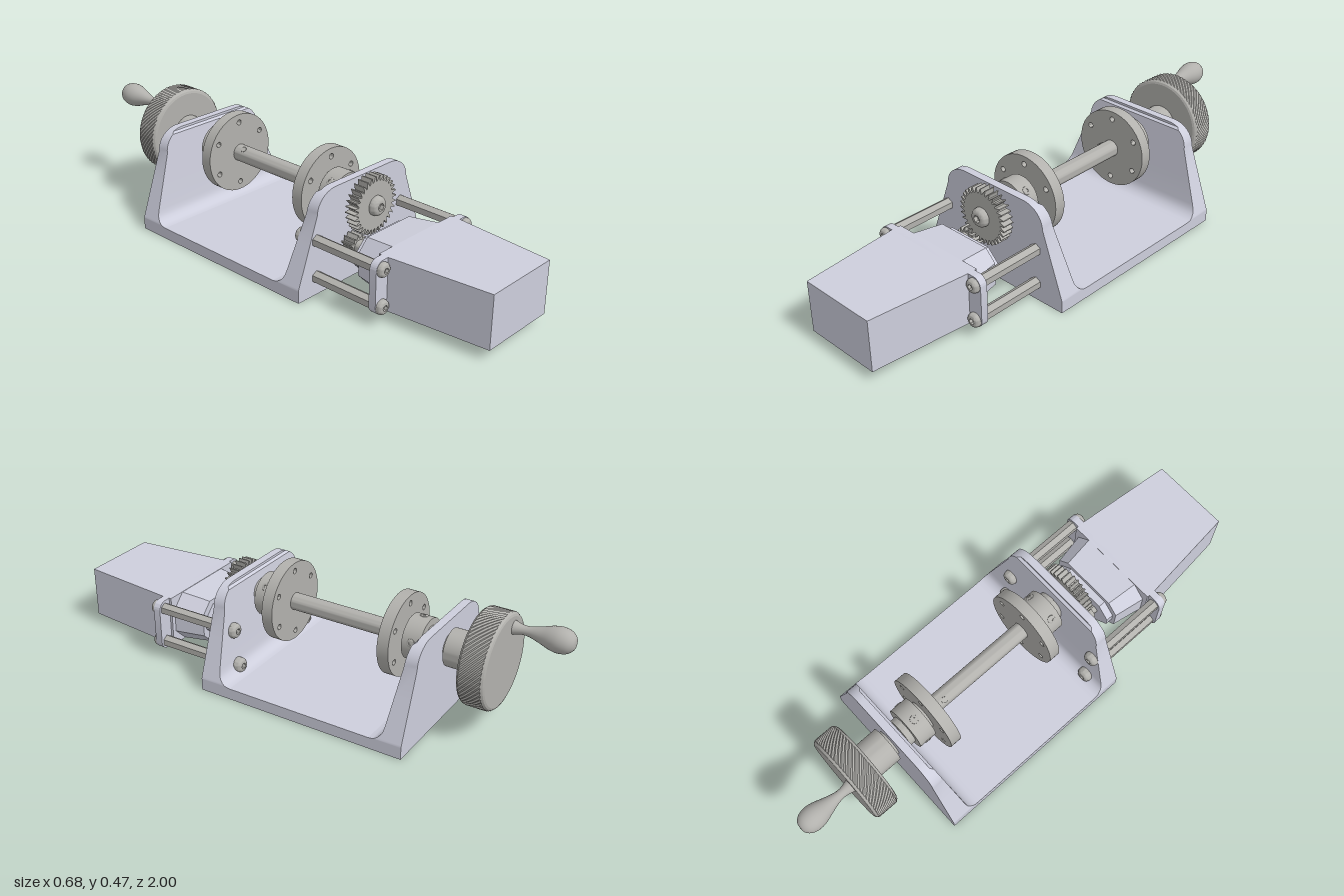
import * as THREE from 'three';
import { toCreasedNormals } from 'three/addons/utils/BufferGeometryUtils.js';

const V = (x, y, z) => new THREE.Vector3(x, y, z);
const body = new THREE.MeshStandardMaterial({ color: 0xcdcedc });
const metal = new THREE.MeshStandardMaterial({ color: 0xb2b1ad });
const AXIS_Y = 0.289;

// Skin a solid through equal rings of points (counter-clockwise seen from the far end)
function loft(rings, crease = 0.5) {
  const n = rings[0].length, last = rings.length - 1, idx = [];
  for (let k = 0; k < last; k++)
    for (let i = 0; i < n; i++) {
      const a = k * n + i, b = k * n + (i + 1) % n;
      idx.push(a, b, b + n, a, b + n, a + n);
    }
  for (let i = 1; i < n - 1; i++) {
    idx.push(0, i + 1, i);
    idx.push(last * n, last * n + i, last * n + i + 1);
  }
  const g = new THREE.BufferGeometry().setFromPoints(rings.flat());
  g.setIndex(idx);
  return toCreasedNormals(g, crease);
}

// Turned part along +z; socket > 0 reshapes that inner radius into a hexagon
function turned(profile, segs = 48, socket = 0) {
  const g = new THREE.LatheGeometry(profile.map(p => new THREE.Vector2(...p)), segs);
  if (socket) {
    const p = g.attributes.position;
    for (let i = 0; i < p.count; i++) {
      const x = p.getX(i), z = p.getZ(i), a = Math.atan2(z, x) + 2 * Math.PI;
      if (Math.abs(Math.hypot(x, z) - socket) > 1e-4) continue;
      const s = Math.cos(Math.PI / 6) / Math.cos((a + 1e-6) % (Math.PI / 3) - Math.PI / 6);
      p.setX(i, x * s);
      p.setZ(i, z * s);
    }
  }
  g.rotateX(Math.PI / 2);
  return toCreasedNormals(g, 0.6);
}

const disc = (r, z0, z1) => turned([[0, z0], [r, z0], [r, z1], [0, z1]]);

// Domed screw head with hex socket
function screwHead(r, h) {
  const s = r * 0.42, pts = [[0, 0], [r, 0], [r, h * 0.2]];
  for (let i = 1; i <= 5; i++) {
    const a = i / 5 * Math.PI / 2;
    pts.push([s * 1.25 + (r - s * 1.25) * Math.cos(a), h * (0.2 + 0.8 * Math.sin(a))]);
  }
  return turned([...pts, [s, h], [s, h * 0.4], [0, h * 0.4]], 36, s);
}

// Cutter wheel outline with leaning teeth
function gear(teeth, rOut, rRoot, depth) {
  const pts = [];
  for (let i = 0; i < teeth; i++)
    for (const [t, r] of [[0, rRoot], [0.08, rOut], [0.25, rOut], [0.75, rRoot]]) {
      const a = (i + t) / teeth * 2 * Math.PI;
      pts.push(new THREE.Vector2(r * Math.cos(a), r * Math.sin(a)));
    }
  return new THREE.ExtrudeGeometry(new THREE.Shape(pts), { depth, bevelEnabled: false });
}

function roundedRect(x0, y0, x1, y1, r) {
  const s = new THREE.Shape();
  s.absarc(x1 - r, y1 - r, r, 0, Math.PI / 2);
  s.absarc(x0 + r, y1 - r, r, Math.PI / 2, Math.PI);
  s.absarc(x0 + r, y0 + r, r, Math.PI, Math.PI * 1.5);
  s.absarc(x1 - r, y0 + r, r, Math.PI * 1.5, Math.PI * 2);
  return s;
}

// End plate outline and thickness by height
const halfWidth = y => y <= 0.05 ? 0.34 : y <= 0.31 ? 0.34 - (y - 0.05) * 0.365
  : 0.15 + 0.095 * Math.sqrt(Math.max(0, 1 - ((y - 0.31) / 0.085) ** 2));
function thickness(y) {
  if (y < 0.1) {
    const u = 1 - (y - 0.045) / 0.055;
    return 0.075 + 0.055 * (1 - Math.sqrt(Math.max(0, 1 - u * u)));
  }
  return y > 0.385 ? 0.032 : 0.075 - (y - 0.1) * 0.115;
}

export function createModel() {
  const model = new THREE.Group();
  const add = (name, geo, mat = metal, x = 0, y = 0, z = 0, parent = model) => {
    const m = new THREE.Mesh(geo, mat);
    m.name = name;
    m.position.set(x, y, z);
    parent.add(m);
    return m;
  };

  // Cradle: floor and two tapered end plates
  add('base', new THREE.BoxGeometry(0.68, 0.045, 0.86), body, 0, 0.0225, -0.13);
  const levels = [0.045, 0.047, 0.05, 0.057, 0.067, 0.08, 0.1, 0.2, 0.31];
  for (let i = 1; i <= 10; i++) levels.push(0.31 + 0.085 * Math.sin(i / 10 * Math.PI / 2));
  for (const [name, outer, dir] of [['frontPlate', 0.3, 1], ['backPlate', -0.56, -1]]) {
    const rings = levels.map(y => {
      const w = halfWidth(y), inner = outer - dir * thickness(y);
      const hi = Math.max(outer, inner), lo = Math.min(outer, inner);
      return [V(-w, y, hi), V(w, y, hi), V(w, y, lo), V(-w, y, lo)];
    });
    add(name, loft(rings), body);
  }

  // Spindle and everything turning on it
  const spindle = new THREE.Group();
  spindle.name = 'spindle';
  spindle.position.y = AXIS_Y;
  model.add(spindle);
  const on = (name, geo, x = 0, y = 0, z = 0) => add(name, geo, metal, x, y, z, spindle);
  on('shaft', disc(0.034, -0.6, 0.36));
  on('shaftPin', disc(0.012, 0, 0.002), -0.02, 0.029, -0.31).rotation.set(-Math.PI / 2, -0.6, 0);

  // Drilled flanges
  const plate = new THREE.Shape().absarc(0, 0, 0.16, 0, Math.PI * 2);
  for (let i = 0; i < 6; i++) {
    const a = Math.PI / 2 + i * Math.PI / 3;
    plate.holes.push(new THREE.Path().absarc(0.127 * Math.cos(a), 0.127 * Math.sin(a), 0.011, 0, Math.PI * 2, true));
  }
  const flangeGeo = toCreasedNormals(
    new THREE.ExtrudeGeometry(plate, { depth: 0.046, bevelEnabled: false, curveSegments: 32 }), 0.6);
  on('frontFlange', flangeGeo, 0, 0, 0.095);
  on('backFlange', flangeGeo, 0, 0, -0.4);

  // Clamping collars with four radial set screws
  for (const [name, z0, z1, turn] of [['front', 0.155, 0.226, Math.PI / 4], ['back', -0.485, -0.412, 0.2]]) {
    on(name + 'Collar', disc(0.086, z0, z1));
    on(name + 'CollarNeck', disc(0.058, z0 - 0.025, z1 + 0.025));
    for (let i = 0; i < 4; i++) {
      const a = turn + i * Math.PI / 2;
      const s = on(name + 'SetScrew', screwHead(0.016, 0.004),
        0.0845 * Math.cos(a), 0.0845 * Math.sin(a), (z0 + z1) / 2);
      s.quaternion.setFromUnitVectors(V(0, 0, 1), V(Math.cos(a), Math.sin(a), 0));
    }
  }

  // Toothed wheel and its bolt
  on('toothedWheel', gear(32, 0.114, 0.094, 0.046), 0, 0, 0.313);
  on('wheelBolt', screwHead(0.038, 0.026), 0, 0, 0.359);

  // Knurled handwheel
  on('wheelNeck', disc(0.052, -0.58, -0.54));
  on('wheelHub', disc(0.072, -0.68, -0.57));
  const rim = [[0, 0], [0.166, 0], [0.174, 0.003], [0.179, 0.01]];
  for (let j = 0; j <= 10; j++) rim.push([0.18, 0.012 + j * 0.0081]);
  rim.push([0.179, 0.095], [0.174, 0.102], [0.166, 0.105], [0, 0.105]);
  const wheel = new THREE.LatheGeometry(rim.map(p => new THREE.Vector2(...p)), 120);
  const wp = wheel.attributes.position;
  for (let i = 0; i < wp.count; i++) {
    const col = Math.floor(i / rim.length) % 120, row = i % rim.length - 4;
    if (row < 0 || row > 10) continue;
    const s = (col + row) % 2 ? 1.01 : 0.988;
    wp.setX(i, wp.getX(i) * s);
    wp.setZ(i, wp.getZ(i) * s);
  }
  wheel.rotateX(Math.PI / 2);
  on('handwheel', toCreasedNormals(wheel, 0.3), 0, 0, -0.775);

  // Crank handle
  const grip = new THREE.SplineCurve([[0.026, 0], [0.018, 0.03], [0.019, 0.06], [0.03, 0.1],
    [0.043, 0.14], [0.047, 0.172], [0.04, 0.202], [0.022, 0.221], [0, 0.225]].map(p => new THREE.Vector2(...p)));
  const gripGeo = new THREE.LatheGeometry(grip.getPoints(36).map(p => p.setX(Math.max(0, p.x))), 32);
  gripGeo.rotateX(-Math.PI / 2);
  on('crankHandle', gripGeo, -0.058, 0.112, -0.775);

  // Motor: tapered housing, mounting flange, gearbox
  const cx = -0.017, cy = 0.146;
  const box = (z, w, h) => [V(cx - w, cy - h, z), V(cx + w, cy - h, z), V(cx + w, cy + h, z), V(cx - w, cy + h, z)];
  add('motorHousing', loft([box(0.56, 0.2, 0.104), box(0.6, 0.2, 0.104), box(1, 0.16, 0.104)], 0.05), body);
  add('motorFlange', toCreasedNormals(new THREE.ExtrudeGeometry(
    roundedRect(-0.277, 0.042, 0.243, 0.25, 0.035), { depth: 0.03, bevelEnabled: false }), 0.6), body, 0, 0, 0.57);
  const oct = (z, w, h, c) => [[-w + c, -h], [w - c, -h], [w, -h + c], [w, h - c],
    [w - c, h], [-w + c, h], [-w, h - c], [-w, -h + c]].map(([x, y]) => V(cx + x, cy + y, z));
  add('gearbox', loft([oct(0.435, 0.16, 0.09, 0.045), oct(0.575, 0.185, 0.104, 0.055)], 0.3), body);
  add('gearboxNose', loft([oct(0.405, 0.145, 0.07, 0.05), oct(0.436, 0.145, 0.07, 0.05)], 0.3), body);

  // Drive pinion
  add('pinionShaft', disc(0.016, 0.31, 0.42), metal, -0.09, 0.157);
  add('pinion', gear(12, 0.045, 0.032, 0.05), metal, -0.09, 0.157, 0.312);
  add('pinionHub', disc(0.026, 0.36, 0.385), metal, -0.09, 0.157);

  // Hex standoffs with a screw at each end
  const rod = new THREE.CylinderGeometry(0.024, 0.024, 0.275, 6).toNonIndexed();
  rod.computeVertexNormals();
  rod.rotateX(Math.PI / 2);
  for (const x of [-0.247, 0.212])
    for (const y of [0.073, 0.217]) {
      add('standoff', rod, metal, x, y, 0.435);
      add('flangeScrew', screwHead(0.028, 0.02), metal, x, y, 0.6);
      const inner = 0.303 - thickness(y);
      add('plateScrewSeat', disc(0.03, 0, 0.03), metal, x, y, inner - 0.005);
      add('plateScrew', screwHead(0.03, 0.022), metal, x, y, inner - 0.005).rotation.x = Math.PI;
    }
  return model;
}
